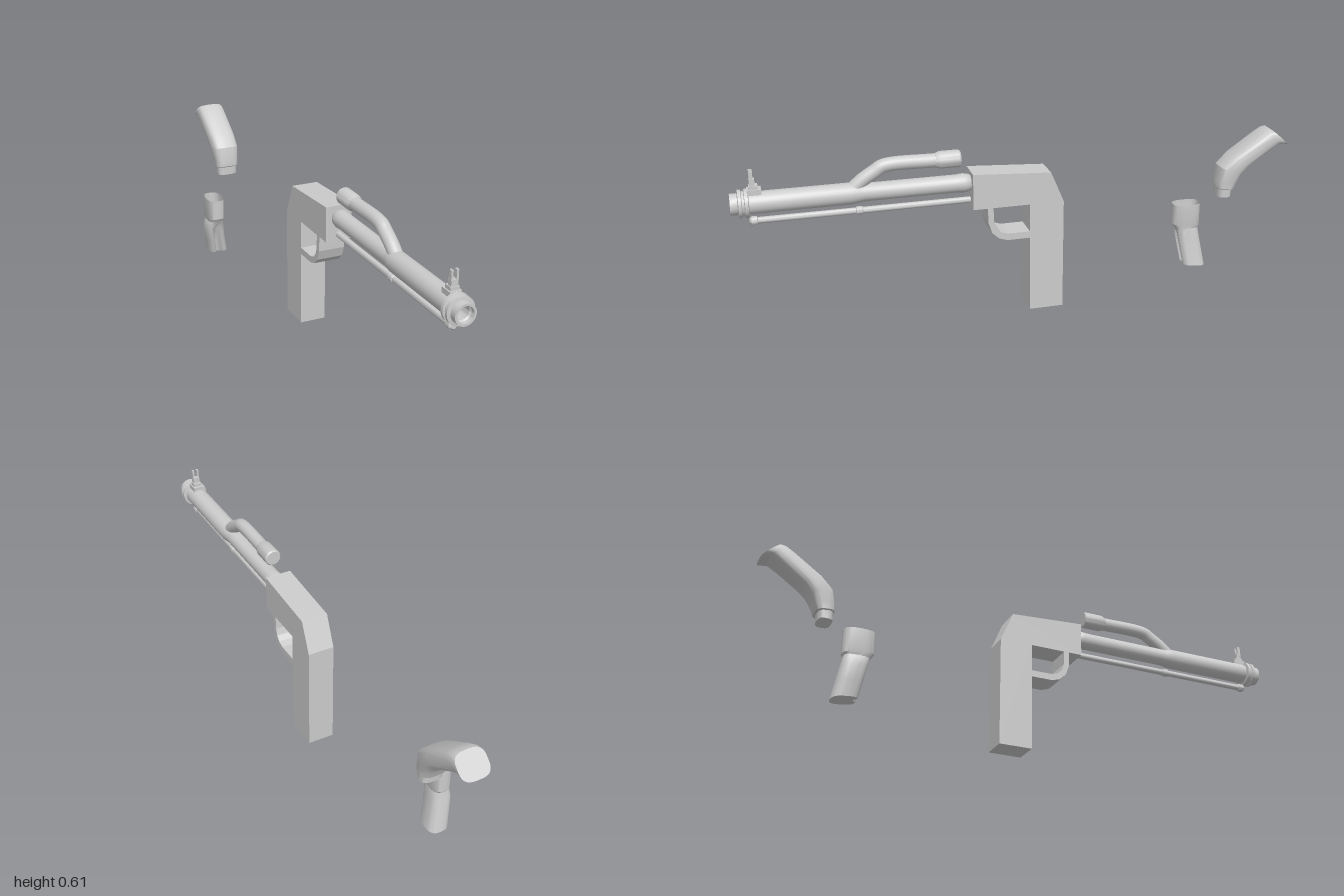
import * as THREE from 'three';
import { toCreasedNormals, mergeVertices } from 'three/addons/utils/BufferGeometryUtils.js';

const material = new THREE.MeshStandardMaterial({ color: 0xcccccc });
const openMaterial = new THREE.MeshStandardMaterial({ color: 0xcccccc, side: THREE.DoubleSide });
const AXIS = 0.06; // x of the gun's centre plane

function add(parent, name, geometry, mat = material) {
  const mesh = new THREE.Mesh(geometry, mat);
  mesh.name = name;
  parent.add(mesh);
  return mesh;
}

// Turned part along z; profile is [radius, z] from rear to front
function turned(profile, y, segments = 28) {
  const g = new THREE.LatheGeometry(profile.map(p => new THREE.Vector2(...p)), segments);
  g.rotateX(Math.PI / 2);
  g.translate(AXIS, y, 0);
  return toCreasedNormals(g, 0.6);
}

// Side profile of [z, y] points extruded across x
function slab(points, width) {
  const shape = new THREE.Shape(points.map(([z, y]) => new THREE.Vector2(-z, y)));
  const g = new THREE.ExtrudeGeometry(shape, { depth: width, bevelEnabled: false });
  g.translate(0, 0, -width / 2);
  g.rotateY(Math.PI / 2);
  g.translate(AXIS, 0, 0);
  return g;
}

// Rounded loft; each section is { f: front [z, y], b: back [z, y], x: [min, max] }, from bottom to top
function loft(sections, power, capTop, warp = (x, z) => [x, z]) {
  const N = 32, pos = [], index = [];
  const round = t => Math.sign(t) * Math.abs(t) ** power;
  sections.forEach(({ f, b, x }, i) => {
    for (let j = 0; j < N; j++) {
      const a = (j / N) * Math.PI * 2;
      const [u, v] = warp(round(Math.cos(a)), round(Math.sin(a)), i);
      pos.push((x[0] + x[1]) / 2 + u * (x[1] - x[0]) / 2,
        (f[1] + b[1]) / 2 + v * (f[1] - b[1]) / 2,
        (f[0] + b[0]) / 2 + v * (f[0] - b[0]) / 2);
      if (i < sections.length - 1) {
        const p = i * N + j, q = i * N + (j + 1) % N;
        index.push(p, p + N, q, q, p + N, q + N);
      }
    }
  });
  const cap = (i, flip) => {
    const { f, b, x } = sections[i], c = pos.length / 3;
    pos.push((x[0] + x[1]) / 2, (f[1] + b[1]) / 2, (f[0] + b[0]) / 2);
    for (let j = 0; j < N; j++) {
      const p = i * N + j, q = i * N + (j + 1) % N;
      index.push(c, flip ? q : p, flip ? p : q);
    }
  };
  cap(0, false);
  if (capTop) cap(sections.length - 1, true);
  const g = new THREE.BufferGeometry();
  g.setAttribute('position', new THREE.Float32BufferAttribute(pos, 3));
  g.setIndex(index);
  return toCreasedNormals(mergeVertices(g), 0.5);
}

export function createModel() {
  const model = new THREE.Group();
  model.name = 'shotgunParts';
  const gun = new THREE.Group();
  gun.name = 'gun';
  model.add(gun);

  // Angular receiver and handle block
  add(gun, 'receiver', slab([
    [0.2, 0.527], [-0.075, 0.51], [-0.122, 0.4], [-0.122, 0], [0, 0], [0, 0.4], [0.2, 0.4],
  ], 0.096));

  // Trigger guard strap, as wide as the receiver
  add(gun, 'triggerGuard', slab([
    [0.15, 0.402], [0.148, 0.345], [0.135, 0.308], [0.11, 0.285], [0.08, 0.276], [-0.005, 0.276],
    [-0.005, 0.3], [0.08, 0.3], [0.105, 0.308], [0.12, 0.325], [0.128, 0.35], [0.13, 0.402],
  ], 0.096));

  // Barrel with collars, muzzle flange and hollow bore
  add(gun, 'barrel', turned([
    [0, 0.195], [0.024, 0.195], [0.031, 0.21], [0.033, 0.225], [0.031, 0.25], [0.031, 0.565],
    [0.033, 0.58], [0.037, 0.605], [0.037, 0.94], [0.048, 0.942], [0.048, 0.953], [0.042, 0.955],
    [0.042, 0.962], [0.047, 0.964], [0.047, 0.974], [0.036, 0.976], [0.036, 1],
    [0.028, 1], [0.028, 0.985], [0.024, 0.98], [0.024, 0.85], [0, 0.85],
  ], 0.485));

  // Thin rod beneath the barrel
  add(gun, 'lowerRod', turned([
    [0, 0.195], [0.011, 0.195], [0.011, 0.57], [0.014, 0.572], [0.014, 0.592], [0.011, 0.594],
    [0.011, 0.915], [0.015, 0.918], [0.015, 0.936], [0.009, 0.942], [0, 0.942],
  ], 0.422, 16));

  // Upper tube bending down to the barrel
  const bend = new THREE.CatmullRomCurve3([
    [0.505, 0.595], [0.53, 0.565], [0.555, 0.525], [0.572, 0.495], [0.575, 0.31],
  ].map(([y, z]) => new THREE.Vector3(AXIS, y, z)), false, 'centripetal');
  add(gun, 'upperTube', new THREE.TubeGeometry(bend, 32, 0.024, 20));
  add(gun, 'upperTubeCap', turned([
    [0, 0.233], [0.026, 0.233], [0.03, 0.238], [0.03, 0.305], [0.024, 0.32], [0, 0.32],
  ], 0.575, 24));

  // Front sight: stepped foot, post and two prongs
  const sight = new THREE.Group();
  sight.name = 'frontSight';
  gun.add(sight);
  const block = (name, w, h, d, x, y, z) =>
    add(sight, name, new THREE.BoxGeometry(w, h, d)).position.set(AXIS + x, y, z);
  block('sightFoot', 0.04, 0.022, 0.046, 0, 0.523, 0.92);
  block('sightStep', 0.03, 0.012, 0.03, 0, 0.54, 0.922);
  block('sightPost', 0.024, 0.022, 0.018, 0, 0.556, 0.925);
  for (const s of [-1, 1]) block('sightProng', 0.007, 0.04, 0.012, s * 0.009, 0.577, 0.927);

  // Curved stock with a narrow neck and flared butt
  const stockRows = [
    [-0.735, 0.332, -0.786, 0.332, 0.039], [-0.735, 0.364, -0.788, 0.36, 0.039],
    [-0.731, 0.368, -0.796, 0.362, 0.044], [-0.731, 0.39, -0.808, 0.39, 0.046],
    [-0.742, 0.445, -0.824, 0.418, 0.052], [-0.785, 0.488, -0.85, 0.444, 0.053],
    [-0.885, 0.556, -0.928, 0.498, 0.053], [-0.912, 0.572, -0.965, 0.519, 0.053],
    [-0.928, 0.576, -0.998, 0.514, 0.053],
  ];
  add(model, 'stock', loft(stockRows.map(([fz, fy, bz, by, w]) => (
    { f: [fz, fy], b: [bz, by], x: [0.025 - w, 0.025 + w] })), 0.65, true));

  // Open-topped grip sleeve, leaning at the bottom with a groove down its front
  const gripRows = [
    [-0.65, 0.036, -0.738, 0.027, -0.092, -0.016], [-0.64, 0.09, -0.728, 0.085, -0.1, -0.027],
    [-0.63, 0.145, -0.717, 0.145, -0.109, -0.035], [-0.625, 0.17, -0.712, 0.17, -0.104, -0.038],
    [-0.622, 0.178, -0.711, 0.178, -0.1, -0.04], [-0.61, 0.195, -0.716, 0.185, -0.104, -0.037],
    [-0.61, 0.273, -0.716, 0.273, -0.104, -0.037],
  ];
  const groove = (u, v, i) => [u, i < 3 && v > 0 && Math.abs(u + 0.1) < 0.25 ? v - 0.3 : v];
  add(model, 'gripSleeve', loft(gripRows.map(([fz, fy, bz, by, x0, x1]) => (
    { f: [fz, fy], b: [bz, by], x: [x0, x1] })), 0.7, false, groove), openMaterial);

  return model;
}
